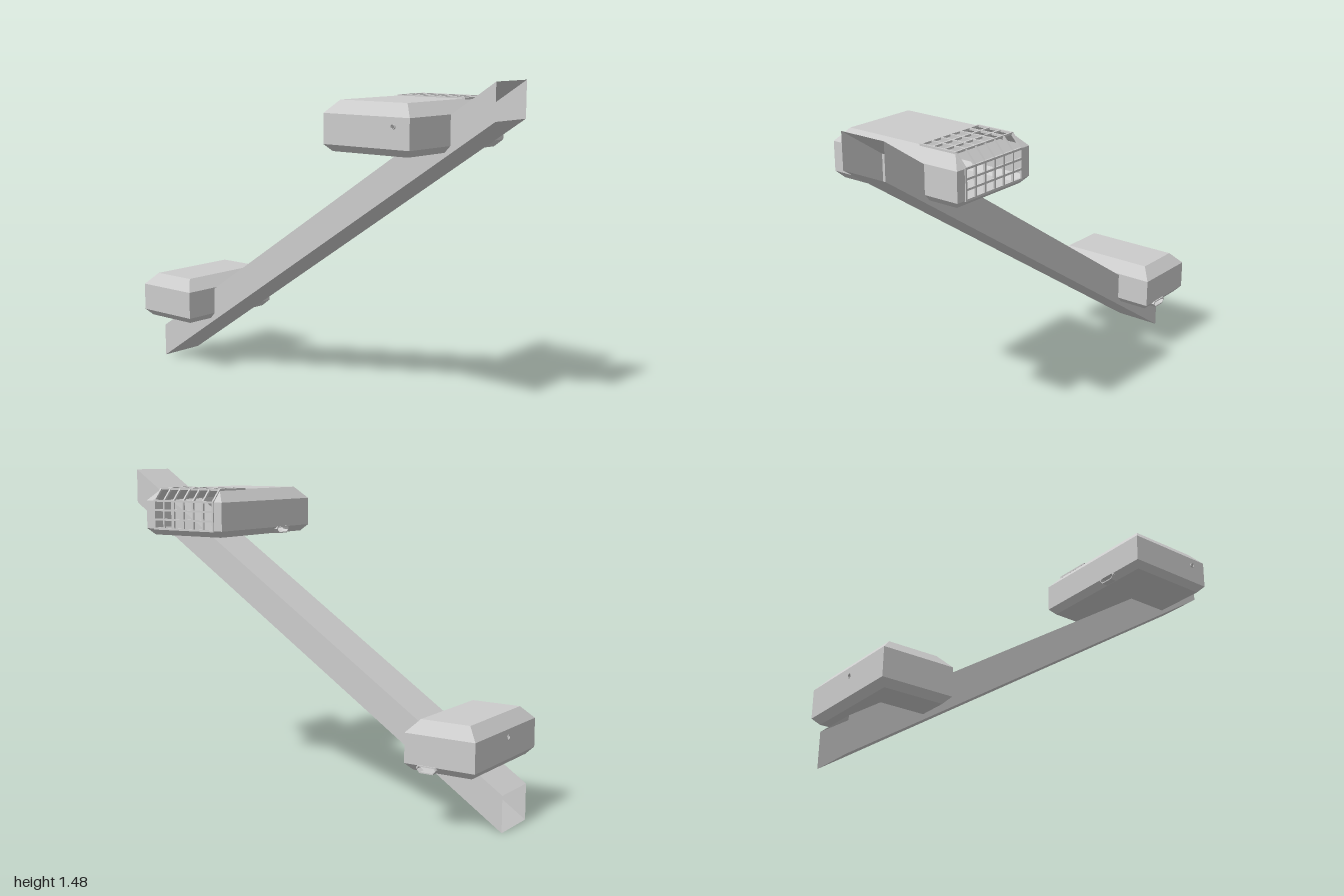
import * as THREE from 'three';

const material = new THREE.MeshStandardMaterial({ color: 0xcccccc, flatShading: true, side: THREE.DoubleSide });

function add(parent, name, geometry) {
  const mesh = new THREE.Mesh(geometry, material);
  mesh.name = name;
  parent.add(mesh);
  return mesh;
}

// Room section heights above its underside, and how far each is set in
const LEVELS = [[0, 0.028], [0.03, 0], [0.16, 0], [0.215, 0.05]];
const WINDOW_START = 0.11;
const BAR = 0.009;

function inset(y) {
  for (let i = 0; i < 3; i++) {
    const [y0, a] = LEVELS[i], [y1, b] = LEVELS[i + 1];
    if (y <= y1) return a + (b - a) * (y - y0) / (y1 - y0);
  }
  return LEVELS[3][1];
}

const toShape = (points) => new THREE.Shape(points.map(([x, y]) => new THREE.Vector2(x, y)));

// Six-sided hatch outline, wider near the top
function hatchOutline(u, grow) {
  const w = 0.046 + grow, t = 0.03 + grow, b = 0.002 - grow;
  return [[u - w * 0.65, b], [u + w * 0.65, b], [u + w, t - 0.011], [u + w * 0.85, t],
    [u - w * 0.85, t], [u - w, t - 0.011]];
}

// Wall piece drawn flat in (u, y), pushed out to the room's outline, turned to side k
function wallPiece(room, name, k, half, points, hole) {
  const shape = toShape(points);
  if (hole) shape.holes.push(hole);
  const g = new THREE.ShapeGeometry(shape, 10).toNonIndexed();
  const p = g.attributes.position;
  for (let i = 0; i < p.count; i++) p.setZ(i, half - inset(p.getY(i)));
  g.rotateY(k * Math.PI / 2);
  g.computeVertexNormals();
  add(room, name, g);
}

function createRoom({ name, x, y, z, hx, hz, hatch, porthole, lattice }) {
  const room = new THREE.Group();
  room.name = name;
  room.position.set(x, y, z);
  const bands = ['lowerBevel', 'wall', 'upperBevel'];

  // Sides 0..3 face +z, +x, -z, -x
  for (let k = 0; k < 4; k++) {
    const half = k % 2 ? hx : hz, width = k % 2 ? hz : hx;
    bands.forEach((band, i) => {
      const [y0, a] = LEVELS[i], [y1, b] = LEVELS[i + 1];
      if (lattice && k === 1 && i > 0) {
        // Only the margins beside the lattice window
        const w = width - 0.05;
        for (const s of [-1, 1]) {
          const pts = [[s * w, y0], [s * (width - a), y0], [s * (width - b), y1]];
          if (i === 1) pts.push([s * w, y1]);
          wallPiece(room, 'windowMargin', k, half, pts);
        }
        return;
      }
      let hole = null;
      if (i === 0 && hatch.side === k) hole = toShape(hatchOutline(hatch.u, -0.003));
      if (i === 1 && porthole.side === k) {
        hole = new THREE.Path().absarc(porthole.u, porthole.y, 0.01, 0, Math.PI * 2, true);
      }
      wallPiece(room, band, k, half,
        [[a - width, y0], [width - a, y0], [width - b, y1], [b - width, y1]], hole);
    });
  }

  // Floor and roof
  const floor = new THREE.PlaneGeometry(2 * hx - 0.056, 2 * hz - 0.056).rotateX(Math.PI / 2);
  add(room, 'floor', floor);
  const roofEnd = lattice ? WINDOW_START : hx - 0.05;
  const roof = new THREE.PlaneGeometry(roofEnd + hx - 0.05, 2 * hz - 0.1).rotateX(-Math.PI / 2);
  add(room, 'roof', roof).position.set((roofEnd - hx + 0.05) / 2, 0.215, 0);

  // Open hatch frame
  const frame = toShape(hatchOutline(hatch.u, 0.002));
  frame.holes.push(toShape(hatchOutline(hatch.u, -0.003)));
  const hatchGeo = new THREE.ExtrudeGeometry(frame, { depth: 0.032, bevelEnabled: false });
  hatchGeo.translate(0, 0, (hatch.side % 2 ? hx : hz) - 0.026).rotateY(hatch.side * Math.PI / 2);
  add(room, 'hatchFrame', hatchGeo);

  // Porthole rim
  const rim = new THREE.Shape().absarc(porthole.u, porthole.y, 0.012, 0, Math.PI * 2, false);
  rim.holes.push(new THREE.Path().absarc(porthole.u, porthole.y, 0.009, 0, Math.PI * 2, true));
  const rimGeo = new THREE.ExtrudeGeometry(rim, { depth: porthole.depth, bevelEnabled: false, curveSegments: 10 });
  rimGeo.translate(0, 0, porthole.side % 2 ? hx : hz).rotateY(porthole.side * Math.PI / 2);
  add(room, 'portholeRim', rimGeo);

  if (lattice) room.add(createLattice(hx, hz - 0.05));
  return room;
}

// Window bars running over the roof, the bevel and down the wall
function createLattice(hx, halfZ) {
  const group = new THREE.Group();
  group.name = 'latticeWindow';
  const path = [];
  for (let i = 0; i <= 3; i++) path.push([WINDOW_START + (hx - 0.05 - WINDOW_START) * i / 3, 0.215]);
  for (let i = 0; i <= 3; i++) path.push([hx, 0.16 - 0.13 * i / 3]);
  path.forEach(([px, py], i) => {
    add(group, 'longBar', new THREE.BoxGeometry(BAR, BAR, 2 * halfZ + BAR)).position.set(px, py, 0);
    if (i === 0) return;
    const [qx, qy] = path[i - 1];
    for (let j = 0; j <= 6; j++) {
      const bar = add(group, 'crossBar', new THREE.BoxGeometry(Math.hypot(px - qx, py - qy), BAR, BAR));
      bar.position.set((px + qx) / 2, (py + qy) / 2, halfZ * (j / 3 - 1));
      bar.rotation.z = Math.atan2(py - qy, px - qx);
    }
  });
  return group;
}

// Sloping square passage, open at both ends, which are cut upright
function createPassage(parent) {
  const g = new THREE.BoxGeometry(0.228, 0.16, 2);
  g.setIndex(Array.from(g.index.array).slice(0, 24));
  const p = g.attributes.position;
  for (let i = 0; i < p.count; i++) p.setY(i, p.getY(i) + 0.66 * p.getZ(i));
  g.computeVertexNormals();
  add(parent, 'slopingPassage', g).position.set(0.054, 0.74, 0);
}

export function createModel() {
  const model = new THREE.Group();
  model.name = 'linkedRooms';
  createPassage(model);
  model.add(createRoom({
    name: 'upperRoom', x: 0, y: 1.18, z: 0.559, hx: 0.338, hz: 0.225, lattice: true,
    hatch: { side: 2, u: 0.12 }, porthole: { side: 3, u: 0.143, y: 0.122, depth: 0.007 },
  }));
  model.add(createRoom({
    name: 'lowerRoom', x: 0.055, y: 0.252, z: -0.793, hx: 0.283, hz: 0.165, lattice: false,
    hatch: { side: 1, u: -0.058 }, porthole: { side: 2, u: 0.02, y: 0.124, depth: 0.002 },
  }));
  return model;
}
